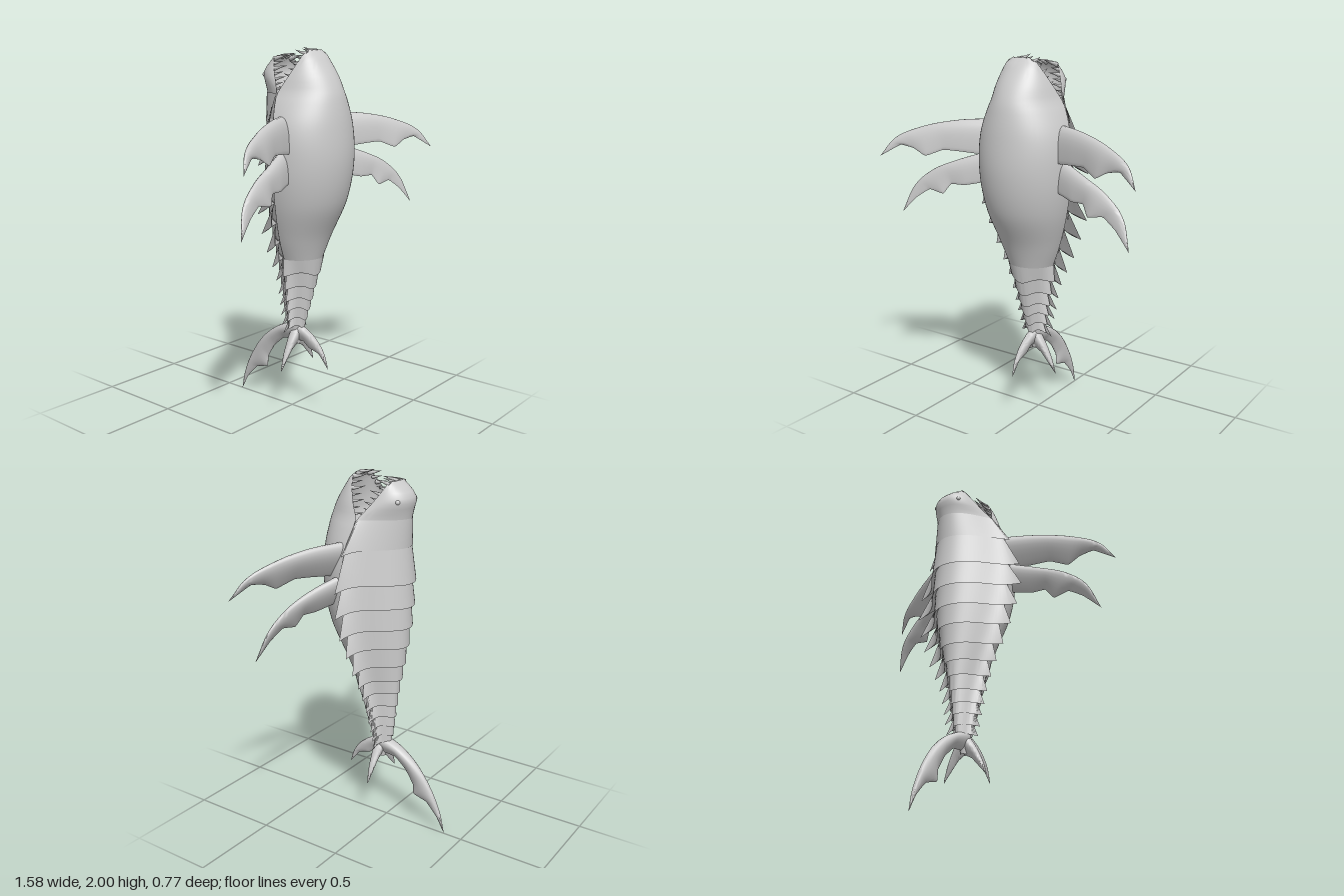
import * as THREE from 'three';
import { mergeGeometries, toCreasedNormals } from 'three/addons/utils/BufferGeometryUtils.js';

const material = new THREE.MeshStandardMaterial({ color: 0xcccccc, side: THREE.DoubleSide });
const V = (x, y, z) => new THREE.Vector3(x, y, z);

// skin a surface through rows of points
function loft(rows, crease = 0.9) {
  const n = rows[0].length, index = [];
  for (let i = 0; i < rows.length - 1; i++)
    for (let j = 0; j < n - 1; j++) {
      const a = i * n + j, b = a + n;
      index.push(a, a + 1, b, b, a + 1, b + 1);
    }
  const geo = new THREE.BufferGeometry().setFromPoints(rows.flat());
  geo.setIndex(index);
  return toCreasedNormals(geo, crease);
}

// body profile: height, half width, z of side line, z of belly / back
const trunk = [
  [0.38, 0.02, 0.03, 0.05, 0.01], [0.5, 0.042, 0.03, 0.07, -0.02],
  [0.6, 0.06, 0.035, 0.1, -0.035], [0.8, 0.1, 0.05, 0.155, -0.06],
  [1.0, 0.175, 0.06, 0.22, -0.092], [1.2, 0.235, 0.08, 0.31, -0.118],
  [1.4, 0.262, 0.09, 0.348, -0.13], [1.6, 0.253, 0.085, 0.342, -0.13],
  [1.74, 0.205, 0.062, 0.32, -0.138],
];
const lowerJaw = [
  [1.77, 0.188, 0.06, 0.312], [1.85, 0.155, 0.1, 0.275], [1.93, 0.112, 0.135, 0.22],
  [1.97, 0.082, 0.15, 0.187], [1.987, 0.05, 0.156, 0.162],
];
const upperJaw = [
  [1.77, 0.188, 0.055, -0.142], [1.82, 0.155, 0.02, -0.152], [1.87, 0.125, -0.015, -0.161],
  [1.92, 0.095, -0.045, -0.125], [1.955, 0.068, -0.062, -0.075],
];
function profile(jaw, column) {
  const rows = [...trunk.map(r => [r[0], r[1], r[2], r[column]]), ...jaw];
  const curve = new THREE.CubicInterpolant(rows.map(r => r[0]), rows.flatMap(r => r.slice(1)), 3);
  return { curve, top: rows[rows.length - 1][0] };
}
const belly = profile(lowerJaw, 3), back = profile(upperJaw, 4);

// round belly; the back slopes out to a sharp side line and grows rounder at the snout
function skin(half, y, a, size = 1, depth = 1) {
  const [w, e, d] = half.curve.evaluate(y);
  const snout = THREE.MathUtils.smoothstep(y, 1.72, 1.88);
  const px = half === back ? 1 - 0.12 * snout : 1, pz = half === back ? 2.6 - 1.5 * snout : 1;
  const c = Math.cos(a), s = Math.max(0, Math.sin(a));
  return V(w * Math.sign(c) * Math.abs(c) ** px * size, y, e + (d - e) * s ** pz * size * depth);
}
const arc = (n, f) => Array.from({ length: n + 1 }, (_, j) => f(Math.PI * j / n));

// outer skin from tail to jaw tip, then the mouth lining down to the throat
function halfBody(half) {
  const outer = [], lining = [], N = 60, M = 16;
  for (let i = 0; i <= N; i++) {
    const y = 0.38 + (half.top - 0.38) * i / N;
    outer.push(arc(32, a => skin(half, y, a)));
  }
  for (let i = 0; i <= M; i++) {
    const y = half.top + (1.56 - half.top) * i / M;
    const size = Math.min(1, Math.max(0, (y - 1.56) / 0.21));
    lining.push(arc(32, a => skin(half, y, a, size, 0.55)));
  }
  return mergeGeometries([loft(outer), loft(lining)]);
}

// overlapping armour plate with a pointed blade at each side
function plate(half, yTop, yBottom, blade, flare, drop) {
  const dir = half === back ? -1 : 1;
  const lift = (y, a, out) => skin(half, y, a).add(V(Math.cos(a), 0, dir * Math.sin(a)).multiplyScalar(out));
  const upper = arc(40, a => lift(yTop, a, 0.003));
  const edge = arc(40, a => {
    const c = Math.cos(a), side = Math.abs(c) ** 10;
    const p = lift(yBottom, a, 0.008 + flare * Math.sin(a) ** 2);
    p.x += Math.sign(c) * (blade + 0.01) * side;
    p.y -= 0.022 * side + drop * Math.sin(a) ** 8;
    p.z += dir * blade * 0.2 * side;
    return p;
  });
  const under = arc(40, a => lift(yBottom + 0.02, a, 0));
  return loft([upper, edge, under], 0.7);
}

// fin between a curved leading edge and a scalloped trailing edge
function fin(leading, trailing, place, normal, thickness) {
  const lead = new THREE.CatmullRomCurve3(leading.map(place));
  const trail = new THREE.CatmullRomCurve3(trailing.map(place), false, 'catmullrom', 0.15);
  const rows = [];
  for (let i = 0; i <= 30; i++) {
    const u = i / 30, a = lead.getPoint(u), b = trail.getPoint(u), row = [];
    for (let j = 0; j <= 20; j++) {
      const t = Math.PI * 2 * j / 20, s = (1 - Math.cos(t)) / 2;
      const thick = thickness * (1 - u) ** 0.7 * Math.sin(t) * (1 - 0.75 * s);
      row.push(a.clone().lerp(b, s).addScaledVector(normal, thick));
    }
    rows.push(row);
  }
  return loft(rows, 1.1);
}

// curved row of teeth following a jaw rim from one corner to the other
function teeth(jaw, count, lean, length) {
  const side = jaw.map(([y, w, e]) => V(w * 0.93, y - 0.012, e));
  const rim = new THREE.CatmullRomCurve3([...side, ...side.slice().reverse().map(p => V(-p.x, p.y, p.z))]);
  const parts = [];
  for (let i = 0; i < count; i++) {
    const u = 0.07 + 0.86 * i / (count - 1), p = rim.getPointAt(u);
    const size = length * (0.4 + 0.6 * Math.sin(Math.PI * u)) * (i % 2 ? 0.75 : 1);
    const cone = new THREE.ConeGeometry(size * 0.14, size, 7, 4);
    cone.translate(0, size / 2 - 0.006, 0);
    const pos = cone.attributes.position;
    for (let k = 0; k < pos.count; k++) pos.setZ(k, pos.getZ(k) + 1.2 * pos.getY(k) ** 2);
    cone.computeVertexNormals();
    const dir = V(-p.x * 1.2, lean[0], lean[1]).normalize();
    cone.applyQuaternion(new THREE.Quaternion().setFromUnitVectors(V(0, 1, 0), dir));
    parts.push(cone.translate(p.x, p.y, p.z));
  }
  return mergeGeometries(parts);
}

export function createModel() {
  const model = new THREE.Group();
  const add = (name, geometry) => {
    const mesh = new THREE.Mesh(geometry, material);
    mesh.name = name;
    model.add(mesh);
    return mesh;
  };

  add('bellyAndLowerJaw', halfBody(belly));
  add('backAndUpperJaw', halfBody(back));
  add('lowerTeeth', teeth(lowerJaw, 17, [0.14, -1], 0.095));
  add('upperTeeth', teeth(upperJaw, 17, [0.3, 1], 0.1));

  // armour on the back, and smaller chevron plates under the tail
  add('neckPlate', plate(back, 1.77, 1.62, 0.03, 0, 0));
  const steps = [1.63, 1.44, 1.31, 1.19, 1.08, 0.97, 0.88, 0.8, 0.72, 0.65, 0.59, 0.53, 0.48];
  for (let i = 0; i < steps.length - 1; i++) {
    const w = back.curve.evaluate(steps[i + 1])[0];
    const blade = 0.035 + 0.25 * w;
    add('backPlate', plate(back, steps[i] + (i ? 0.02 : 0), steps[i + 1], i ? blade : 0.075, 0.005 + 0.06 * w, 0.01));
    if (steps[i] < 0.95) add('tailBellyPlate', plate(belly, steps[i] + 0.01, steps[i + 1] + 0.02, blade * 0.3, 0.003, 0.025));
  }

  for (const s of [1, -1]) {
    // paired flippers, trailing edges swung towards the belly
    add('frontFlipper', fin(
      [[0.19, 1.66], [0.4, 1.645], [0.58, 1.605], [0.72, 1.54], [0.79, 1.44]],
      [[0.2, 1.47], [0.35, 1.485], [0.44, 1.49], [0.53, 1.455], [0.6, 1.49], [0.68, 1.505], [0.79, 1.44]],
      ([x, y]) => V(s * x, y, 0.1 + (x - 0.2) * 0.48 + 0.35 * (1.66 - 0.62 * (x - 0.2) ** 2 - y)),
      V(-0.43 * s, 0.3, 0.87), 0.045));
    add('rearFlipper', fin(
      [[0.19, 1.5], [0.4, 1.43], [0.55, 1.365], [0.66, 1.27], [0.72, 1.12]],
      [[0.2, 1.33], [0.34, 1.3], [0.42, 1.3], [0.46, 1.245], [0.55, 1.26], [0.63, 1.21], [0.72, 1.12]],
      ([x, y]) => V(s * x, y, 0.11 + (x - 0.2) * 0.36 + 0.3 * (1.5 - 1.38 * (x - 0.2) ** 2 - y)),
      V(-0.33 * s, 0.27, 0.9), 0.04));
    // side spikes of the tail
    add('tailSpike', fin(
      [[0.01, 0.5], [0.065, 0.42], [0.11, 0.335], [0.14, 0.25]],
      [[0, 0.38], [0.045, 0.355], [0.095, 0.3], [0.14, 0.25]],
      ([x, y]) => V(s * x, y, 0.038), V(0, 0, 1), 0.045));
    // eyes
    const eye = add('eye', new THREE.SphereGeometry(0.013, 16, 10));
    eye.position.set(s * 0.08, 1.86, -0.12);
  }

  // vertical tail flukes
  const upright = ([z, y]) => V(0, y, z);
  add('largeTailFluke', fin(
    [[0.03, 0.51], [-0.1, 0.455], [-0.21, 0.37], [-0.3, 0.25], [-0.36, 0.12], [-0.39, 0]],
    [[0.04, 0.4], [-0.06, 0.39], [-0.13, 0.33], [-0.18, 0.25], [-0.185, 0.19], [-0.27, 0.165], [-0.34, 0.09], [-0.39, 0]],
    upright, V(1, 0, 0), 0.055));
  add('smallTailFluke', fin(
    [[0.01, 0.51], [0.1, 0.475], [0.18, 0.42], [0.23, 0.35], [0.255, 0.275]],
    [[0.02, 0.4], [0.08, 0.4], [0.12, 0.37], [0.19, 0.35], [0.255, 0.275]],
    upright, V(1, 0, 0), 0.04));

  return model;
}
